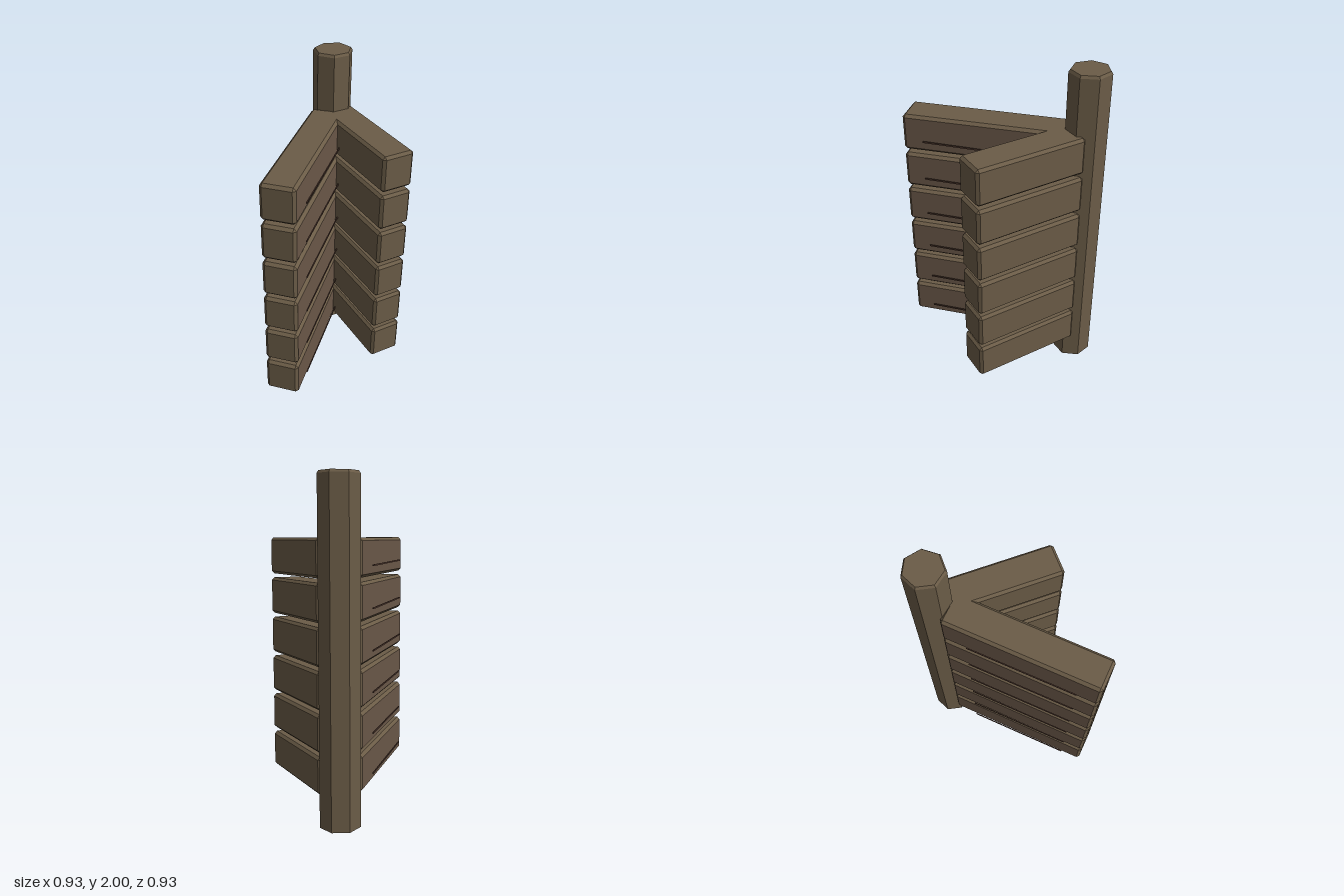
import * as THREE from 'three';
import { ConvexGeometry } from 'three/addons/geometries/ConvexGeometry.js';

// Box with every edge chamfered by c
function chamferedBox(w, h, d, c) {
  const points = [];
  for (const sx of [-1, 1]) for (const sy of [-1, 1]) for (const sz of [-1, 1]) {
    const x = w / 2, y = h / 2, z = d / 2;
    points.push(
      new THREE.Vector3(sx * x, sy * (y - c), sz * (z - c)),
      new THREE.Vector3(sx * (x - c), sy * y, sz * (z - c)),
      new THREE.Vector3(sx * (x - c), sy * (y - c), sz * z)
    );
  }
  return new ConvexGeometry(points);
}

// Gives the two broad side faces (local +z and -z) the second material
function groupBroadSides(geometry) {
  const normals = geometry.attributes.normal;
  for (let i = 0; i < normals.count; i += 3) {
    geometry.addGroup(i, 3, Math.abs(normals.getZ(i)) > 0.95 ? 1 : 0);
  }
  return geometry;
}

export function createModel() {
  const wood = new THREE.MeshStandardMaterial({ color: 0x6b5c47 });
  wood.name = 'weathered wood';
  const sideWood = new THREE.MeshStandardMaterial({ color: 0x6a5748 });
  sideWood.name = 'reddish wood';
  const grainWood = new THREE.MeshStandardMaterial({ color: 0x513a30 });
  grainWood.name = 'dark grain';

  const model = new THREE.Group();
  model.name = 'cornerFence';

  const add = (parent, name, geometry, material, x, y, z) => {
    const mesh = new THREE.Mesh(geometry, material);
    mesh.name = name;
    mesh.position.set(x, y, z);
    parent.add(mesh);
    return mesh;
  };

  // Seven-sided corner post with a chamfered top
  const profile = [[0, 0], [0.121, 0], [0.121, 1.985], [0.111, 2], [0, 2]]
    .map(([x, y]) => new THREE.Vector2(x, y));
  const postGeometry = new THREE.LatheGeometry(profile, 7, Math.PI).toNonIndexed();
  postGeometry.computeVertexNormals();
  add(model, 'post', postGeometry, wood, 0.343, 0, -0.344);

  // Two stacks of six beams meeting at the post
  const straightGeometry = chamferedBox(0.2, 0.225, 0.685, 0.016);
  const diagonalGeometry = groupBroadSides(chamferedBox(0.962, 0.225, 0.203, 0.017));
  const grainGeometry = new THREE.BoxGeometry(0.665, 0.009, 0.006);

  const diagonalWall = new THREE.Group();
  diagonalWall.name = 'diagonalWall';
  diagonalWall.rotation.y = -Math.PI * 0.75;
  model.add(diagonalWall);

  for (let i = 0; i < 6; i++) {
    const y = 0.2825 + i * 0.25;
    add(model, 'straightBeam', straightGeometry, wood, 0.343, y, 0.069);
    add(diagonalWall, 'diagonalBeam', diagonalGeometry, [wood, sideWood], 0.092, y, 0);
    // Grain strip standing just off each broad side
    for (const side of [-1, 1]) {
      const grain = add(diagonalWall, 'grainStrip', grainGeometry, grainWood, 0.113, y - 0.0425, side * 0.121);
      grain.rotation.z = 0.015;
    }
  }
  return model;
}
